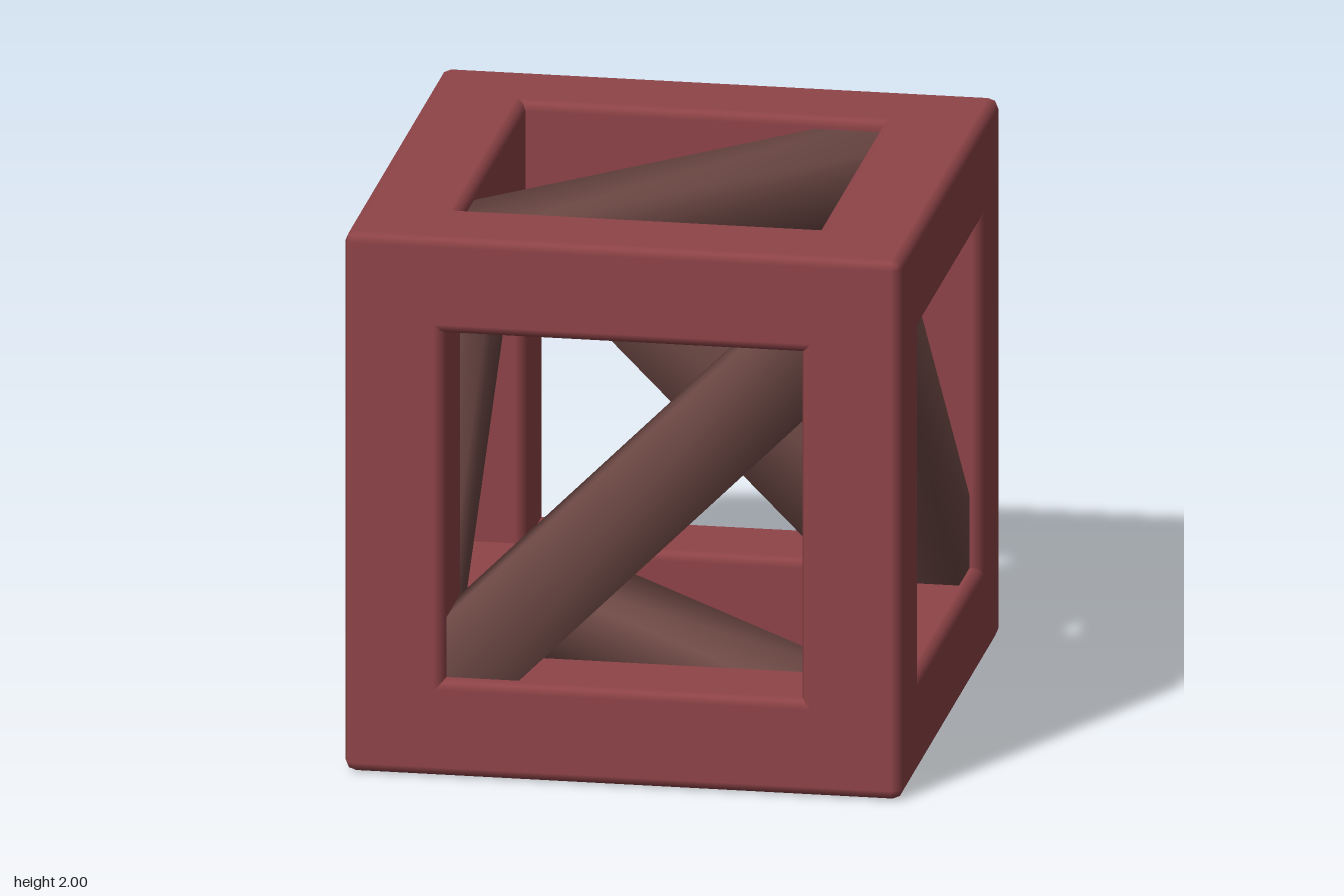
import * as THREE from 'three';
import { mergeVertices } from 'three/addons/utils/BufferGeometryUtils.js';
import { RoundedBoxGeometry } from 'three/addons/geometries/RoundedBoxGeometry.js';

const BEAM = 0.36;             // thickness of the frame beams
const MID = 1 - BEAM / 2;      // distance of a beam's centre line from the cube's centre

// Box whose normals blend softly over its edges
function softBox(w, h, d) {
  const box = new THREE.BoxGeometry(w, h, d);
  box.deleteAttribute('normal');
  box.deleteAttribute('uv');
  const soft = mergeVertices(box);
  soft.computeVertexNormals();
  return soft;
}

export function createModel() {
  const model = new THREE.Group();
  model.name = 'braced cube frame';
  const cube = new THREE.Group();
  cube.name = 'cube';
  cube.position.y = 1;
  model.add(cube);

  const frameMat = new THREE.MeshStandardMaterial({ color: 0x8f4448 });
  const braceMat = new THREE.MeshStandardMaterial({ color: 0x6f4a46 });

  // Twelve chamfered beams, four along each axis
  const axes = ['x', 'y', 'z'];
  axes.forEach((axis, i) => {
    const size = [BEAM, BEAM, BEAM];
    size[i] = 2;
    const beamGeo = new RoundedBoxGeometry(...size, 1, 0.037);
    const u = axes[(i + 1) % 3], v = axes[(i + 2) % 3];
    for (const a of [-1, 1]) for (const b of [-1, 1]) {
      const beam = new THREE.Mesh(beamGeo, frameMat);
      beam.name = 'frameBeam';
      beam.position[u] = a * MID;
      beam.position[v] = b * MID;
      cube.add(beam);
    }
  });

  // One diagonal brace per face: name, face turn about x and y, tilt, shift in the face
  const q = Math.PI / 2;
  const faces = [
    ['frontBrace', 0, 0, 1, 0.01, -0.01],
    ['leftBrace', 0, q, -1, 0.012, 0.012],
    ['backBrace', 0, 2 * q, 1, -0.008, 0.008],
    ['rightBrace', 0, -q, -1, 0, 0],
    ['topBrace', -q, 0, 1, 0, 0],
    ['bottomBrace', q, 0, 1, 0.018, -0.018],
  ];
  const braceGeo = softBox(2.2, 0.34, 0.27);
  for (const [name, rx, ry, tilt, dx, dy] of faces) {
    const face = new THREE.Group();
    face.name = name;
    face.rotation.set(rx, ry, 0);
    const brace = new THREE.Mesh(braceGeo, braceMat);
    brace.name = 'braceBar';
    brace.position.set(dx, dy, MID);
    brace.rotation.z = tilt * Math.PI / 4;
    face.add(brace);
    cube.add(face);
  }
  return model;
}
